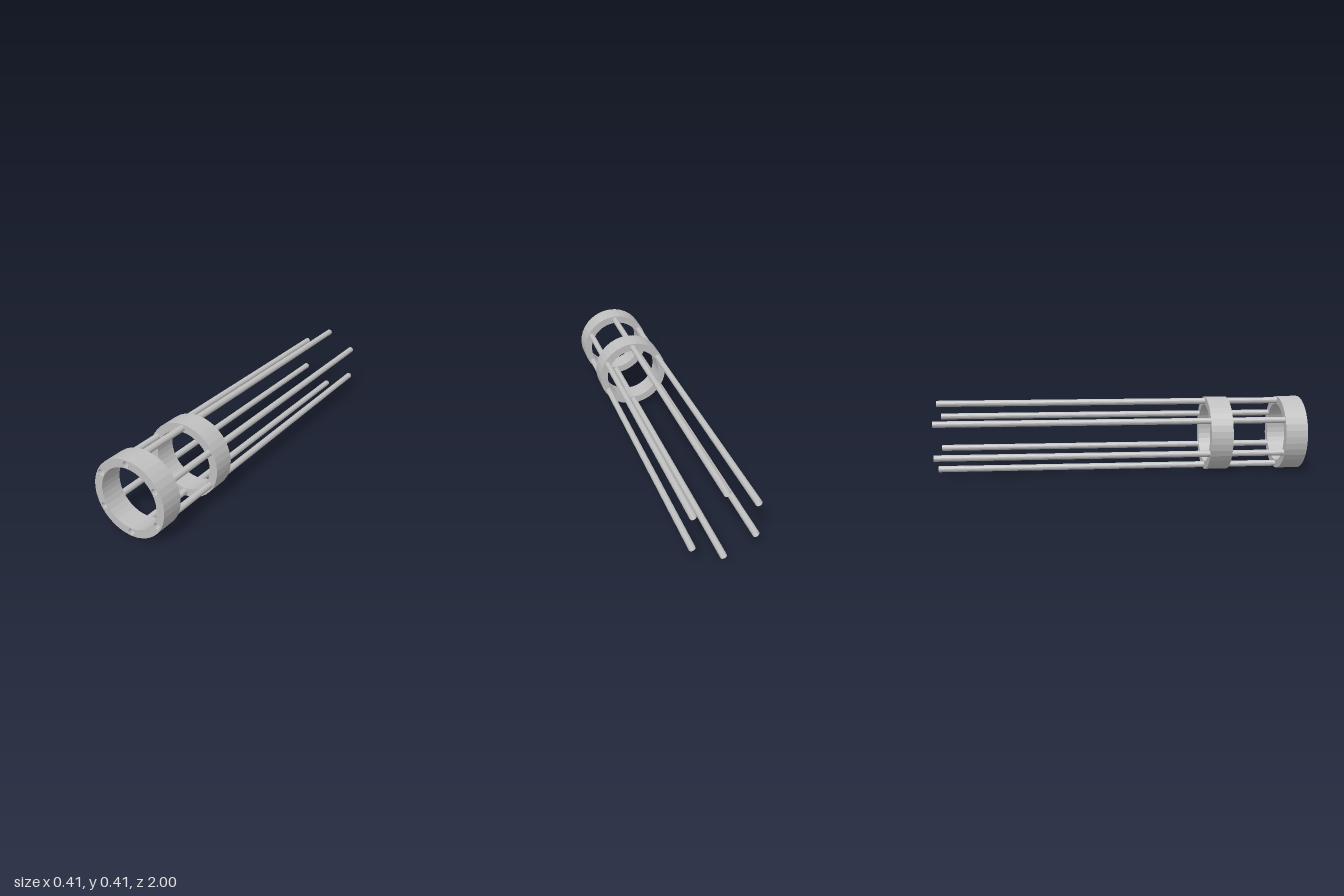
import * as THREE from 'three';

const CENTER_Y = 0.204, OUTER = 0.203, INNER = 0.16;
const ROD_CIRCLE = 0.18, ROD_RADIUS = 0.017, ROD_COUNT = 6;

// Positions of the rods around the axis, starting at the top
const rodSpots = Array.from({ length: ROD_COUNT }, (_, i) => {
  const a = Math.PI / 2 + (i * 2 * Math.PI) / ROD_COUNT;
  return [Math.cos(a) * ROD_CIRCLE, Math.sin(a) * ROD_CIRCLE];
});

function circleHole(x, y, r) {
  const path = new THREE.Path();
  path.absarc(x, y, r, 0, Math.PI * 2, true);
  return path;
}

export function createModel() {
  const model = new THREE.Group();
  model.name = 'ringAndRodFrame';
  const ringGrey = new THREE.MeshStandardMaterial({ color: 0xbfbfbf, flatShading: true, side: THREE.DoubleSide });
  ringGrey.name = 'light grey';

  // Flat ring with a bore and six rod holes
  const shape = new THREE.Shape();
  shape.absarc(0, 0, OUTER, 0, Math.PI * 2, false);
  shape.holes.push(circleHole(0, 0, INNER));
  for (const [x, y] of rodSpots) shape.holes.push(circleHole(x, y, ROD_RADIUS + 0.0005));
  const ringGeometry = new THREE.ExtrudeGeometry(shape, { depth: 0.12, bevelEnabled: false, curveSegments: 18 });

  for (const [name, z] of [['frontRing', 0.88], ['middleRing', 0.47]]) {
    const ring = new THREE.Mesh(ringGeometry, ringGrey);
    ring.name = name;
    ring.position.set(0, CENTER_Y, z);
    model.add(ring);
  }

  // Open tubes running the whole length through both rings
  const rodGeometry = new THREE.CylinderGeometry(ROD_RADIUS, ROD_RADIUS, 2, 24, 1, true).rotateX(Math.PI / 2);
  const rods = new THREE.Group();
  rods.name = 'rods';
  rodSpots.forEach(([x, y], i) => {
    const rod = new THREE.Mesh(rodGeometry, ringGrey);
    rod.name = `rod${i + 1}`;
    rod.position.set(x, CENTER_Y + y, 0);
    rods.add(rod);
  });
  model.add(rods);
  return model;
}
